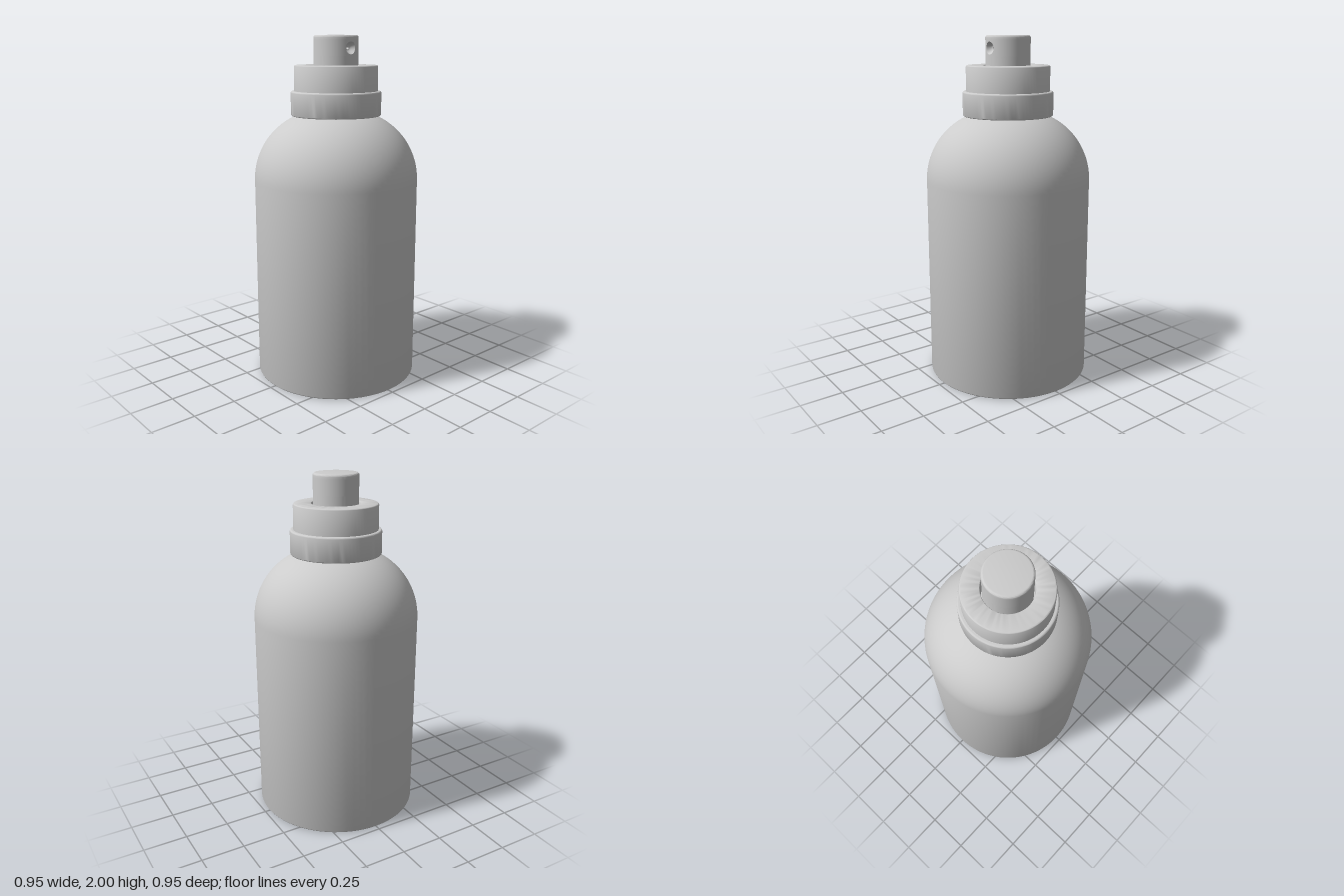
import * as THREE from 'three';
import { toCreasedNormals } from 'three/addons/utils/BufferGeometryUtils.js';

const SEGMENTS = 80;
const material = new THREE.MeshStandardMaterial({ color: 0xcccccc });

function addMesh(group, name, geometry) {
  const mesh = new THREE.Mesh(geometry, material);
  mesh.name = name;
  group.add(mesh);
}

// Points of a circular arc, angles in degrees.
function arc(cx, cy, r, from, to, steps) {
  return Array.from({ length: steps + 1 }, (_, i) => {
    const a = THREE.MathUtils.degToRad(from + ((to - from) * i) / steps);
    return [cx + r * Math.cos(a), cy + r * Math.sin(a)];
  });
}

// Turned part with sharp edges kept, optionally with an angular gap around +z.
function turned(profile, gap = 0) {
  const points = profile.map(([x, y]) => new THREE.Vector2(x, y));
  const geometry = new THREE.LatheGeometry(points, SEGMENTS, gap, Math.PI * 2 - 2 * gap);
  return gap ? geometry : toCreasedNormals(geometry, 0.6);
}

// Surface joining rings given by point(angle, t), t from outside to inside.
function ringSurface(point, rows, segments = 48) {
  const positions = [];
  const index = [];
  for (let j = 0; j <= rows; j++) {
    for (let i = 0; i < segments; i++) {
      positions.push(...point((i / segments) * Math.PI * 2, j / rows));
      if (j === rows) continue;
      const next = (i + 1) % segments;
      const a = j * segments + i, b = j * segments + next;
      index.push(a, b, b + segments, a, b + segments, a + segments);
    }
  }
  const geometry = new THREE.BufferGeometry();
  geometry.setAttribute('position', new THREE.Float32BufferAttribute(positions, 3));
  geometry.setIndex(index);
  geometry.computeVertexNormals();
  return geometry;
}

export function createModel() {
  const model = new THREE.Group();
  model.name = 'sprayBottle';

  // Bottle: shallow hollow base, straight wall, round shoulder, hidden neck
  addMesh(model, 'bottle', turned([
    [0, 0.02], [0.12, 0.018], [0.24, 0.011], [0.34, 0.004], [0.42, 0],
    ...arc(0.46, 0.015, 0.015, -90, 0, 5),
    ...arc(0.075, 1.18, 0.4, 0, 68, 24),
    [0.2, 1.56], [0.2, 1.6],
  ]));

  // Lower crimp ring
  addMesh(model, 'collarRing', turned([
    [0.19, 1.55], [0.255, 1.55],
    ...arc(0.253, 1.557, 0.007, -60, 0, 3),
    ...arc(0.25, 1.68, 0.01, 0, 90, 4),
    [0.2, 1.69],
  ]));

  // Upper collar with the well that the button slides in
  addMesh(model, 'collar', turned([
    [0.24, 1.68],
    ...arc(0.23, 1.825, 0.01, 0, 90, 4),
    ...arc(0.142, 1.83, 0.005, 90, 180, 4),
    [0.137, 1.72], [0, 1.72],
  ]));

  // Button: wall split around the nozzle opening
  const button = new THREE.Group();
  button.name = 'button';
  model.add(button);
  const R = 0.128, holeY = 1.93, holeR = 0.035, half = 0.045;
  const low = holeY - half, high = holeY + half;
  addMesh(button, 'buttonStem', turned([[R, 1.72], [R, low]]));
  addMesh(button, 'buttonWall', turned([[R, low], [R, high]], half / R));
  addMesh(button, 'buttonTop', turned([
    [R, high], ...arc(R - 0.013, 1.987, 0.013, 0, 90, 5), [0, 2],
  ]));

  // Wrap flat coordinates around the button, sunk by a depth
  const wrap = (u, v, depth = 0) =>
    [R * Math.sin(u / R), holeY + v, R * Math.cos(u / R) - depth];

  // Square wall patch pierced by the round opening
  const patch = ringSurface((a, t) => {
    const c = Math.cos(a), s = Math.sin(a);
    const edge = half / Math.max(Math.abs(c), Math.abs(s));
    const r = THREE.MathUtils.lerp(edge, holeR, t);
    return wrap(c * r, s * r);
  }, 4);
  const p = patch.attributes.position;
  for (let i = 0; i < p.count; i++) {
    patch.attributes.normal.setXYZ(i, p.getX(i) / R, 0, p.getZ(i) / R);
  }
  addMesh(button, 'nozzleSurround', patch);

  // Bowl-shaped nozzle recess and its small outlet
  const outletR = 0.008, bowlDepth = 0.03;
  addMesh(button, 'nozzleBowl', ringSurface((a, t) => {
    const r = THREE.MathUtils.lerp(holeR, outletR, t);
    return wrap(Math.cos(a) * r, Math.sin(a) * r, bowlDepth * Math.sin((t * Math.PI) / 2));
  }, 8));
  addMesh(button, 'nozzleOutlet', toCreasedNormals(ringSurface((a, t) => {
    const r = t < 0.75 ? outletR : 0.0005;
    return wrap(Math.cos(a) * r, Math.sin(a) * r, bowlDepth + 0.02 * Math.min(1, t * 2));
  }, 2), 0.6));

  return model;
}
